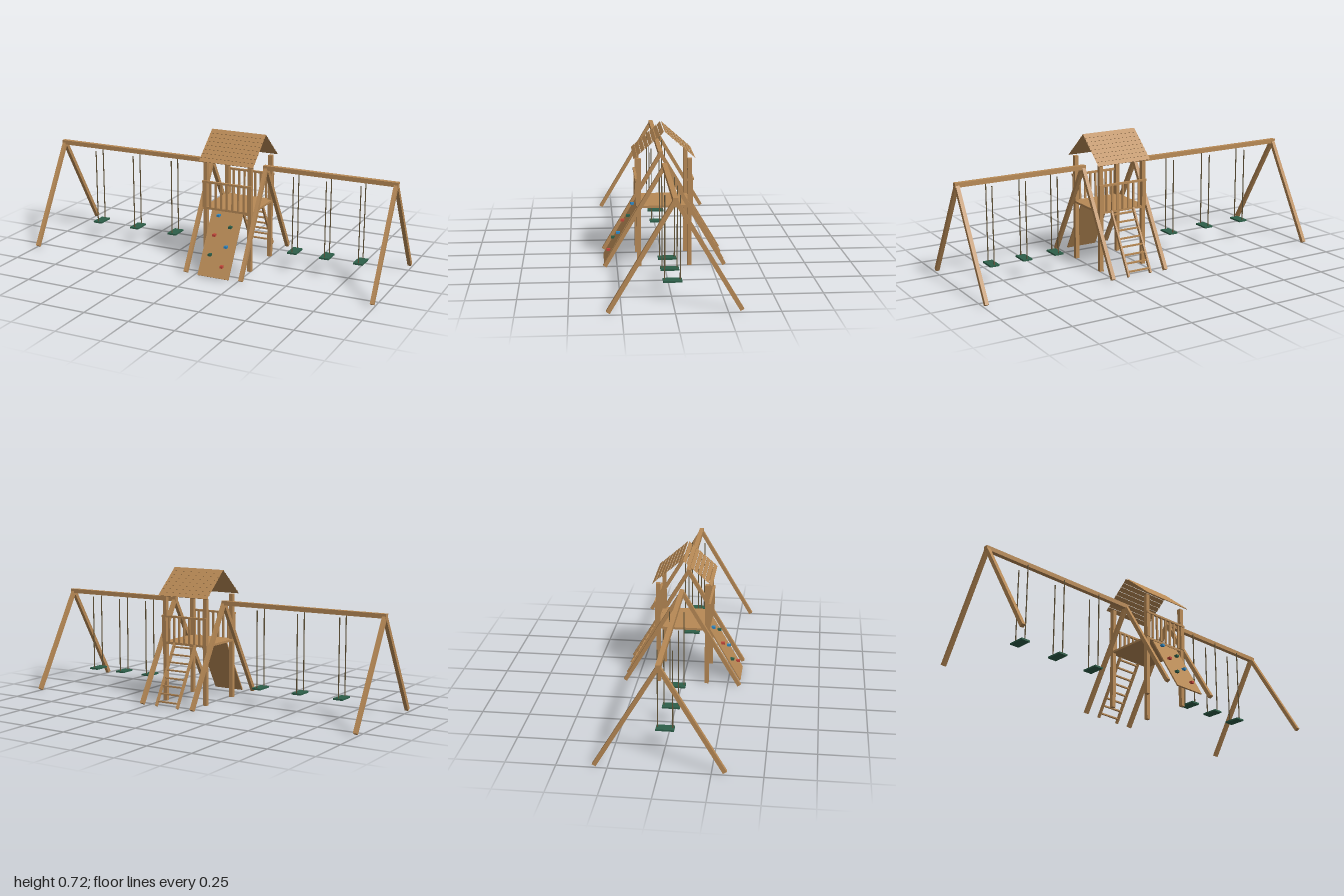
import * as THREE from 'three';

const mat = (name, color) => {
  const m = new THREE.MeshStandardMaterial({ color });
  m.name = name;
  return m;
};

export function createModel() {
  const model = new THREE.Group();
  model.name = 'swingSet';
  const wood = mat('wood', 0xb78955);
  const chain = mat('chain', 0x64563a);
  const green = mat('green', 0x2d5f49);
  const blue = mat('blue', 0x2f88c4);
  const red = mat('red', 0xc4473a);

  const box = (name, m, w, h, d, x, y, z, parent = model) => {
    const mesh = new THREE.Mesh(new THREE.BoxGeometry(w, h, d), m);
    mesh.name = name;
    mesh.position.set(x, y, z);
    parent.add(mesh);
    return mesh;
  };
  // Sloping board in the yz plane, from (y0, z0) to (y1, z1)
  const board = (name, w, d, x, y0, z0, y1, z1) => {
    const dy = y1 - y0, dz = z1 - z0;
    const b = box(name, wood, w, Math.hypot(dy, dz), d, x, (y0 + y1) / 2, (z0 + z1) / 2);
    b.rotation.x = Math.atan2(dz, dy);
    return b;
  };

  const cx = 0.112; // tower centre

  // Swing beams and their A-frame legs
  for (const [x0, x1] of [[-1, -0.04], [0.26, 1]]) {
    box('beam', wood, x1 - x0, 0.024, 0.025, (x0 + x1) / 2, 0.549, 0);
  }
  for (const x of [-0.988, -0.048, 0.272, 0.987]) {
    for (const s of [-1, 1]) board('frameLeg', 0.02, 0.021, x, 0.548, 0, 0.015, s * 0.315);
  }

  // Swings
  for (const x of [-0.759, -0.518, -0.278, 0.444, 0.627, 0.814]) {
    const swing = new THREE.Group();
    swing.name = 'swing';
    swing.position.x = x;
    box('seat', green, 0.052, 0.009, 0.092, 0, 0.108, 0, swing);
    for (const s of [-1, 1]) box('chain', chain, 0.004, 0.417, 0.005, 0, 0.32, s * 0.0375, swing);
    model.add(swing);
  }

  // Tower posts and deck
  for (const sx of [-1, 1]) {
    for (const sz of [-1, 1]) box('post', wood, 0.022, 0.578, 0.022, cx + sx * 0.129, 0.294, sz * 0.133);
  }
  box('deck', wood, 0.28, 0.012, 0.286, cx, 0.327, 0);

  // Railings at front and back
  for (const s of [-1, 1]) {
    box('topRail', wood, 0.286, 0.011, 0.013, cx, 0.474, s * 0.147);
    for (let i = 0; i < 9; i++) {
      const end = i === 0 || i === 8;
      box('baluster', wood, end ? 0.024 : 0.011, 0.138, 0.008, cx + (i - 4) * 0.0325, 0.402, s * 0.1455);
    }
  }

  // Climbing wall with holds
  board('climbingWall', 0.18, 0.007, cx, 0.332, 0.129, 0.009, 0.315);
  const holdColors = [blue, green, red];
  for (let i = 0; i < 6; i++) {
    box('climbingHold', holdColors[i % 3], 0.016, 0.012, 0.021,
      i % 2 ? 0.152 : 0.071, 0.301 - i * 0.0465, 0.1605 + i * 0.0266);
  }

  // Ladder
  for (const s of [-1, 1]) board('ladderRail', 0.01, 0.016, cx + s * 0.067, 0.334, -0.136, 0.014, -0.316);
  for (let i = 0; i < 8; i++) {
    const t = (i + 0.6) / 8.2;
    box('ladderRung', wood, 0.13, 0.008, 0.01, cx, 0.334 - t * 0.32, -0.136 - t * 0.18);
  }

  // Roof slats with narrow gaps and open ends, stepping down each slope
  const slats = 8, rise = 0.14 / slats, run = 0.16 / slats, dz = run * 0.82;
  const slatGeometry = new THREE.BoxGeometry(0.315, Math.hypot(rise, dz), 0.003);
  slatGeometry.setIndex(Array.from(slatGeometry.index.array).slice(12));
  slatGeometry.clearGroups();
  for (const s of [-1, 1]) {
    for (let i = 0; i < slats; i++) {
      const slat = new THREE.Mesh(slatGeometry, wood);
      slat.name = 'roofSlat';
      slat.position.set(cx, 0.725 - (i + 0.5) * rise, s * ((i + 1) * run - dz / 2));
      slat.rotation.x = -s * Math.atan2(dz, rise);
      model.add(slat);
    }
  }
  return model;
}
